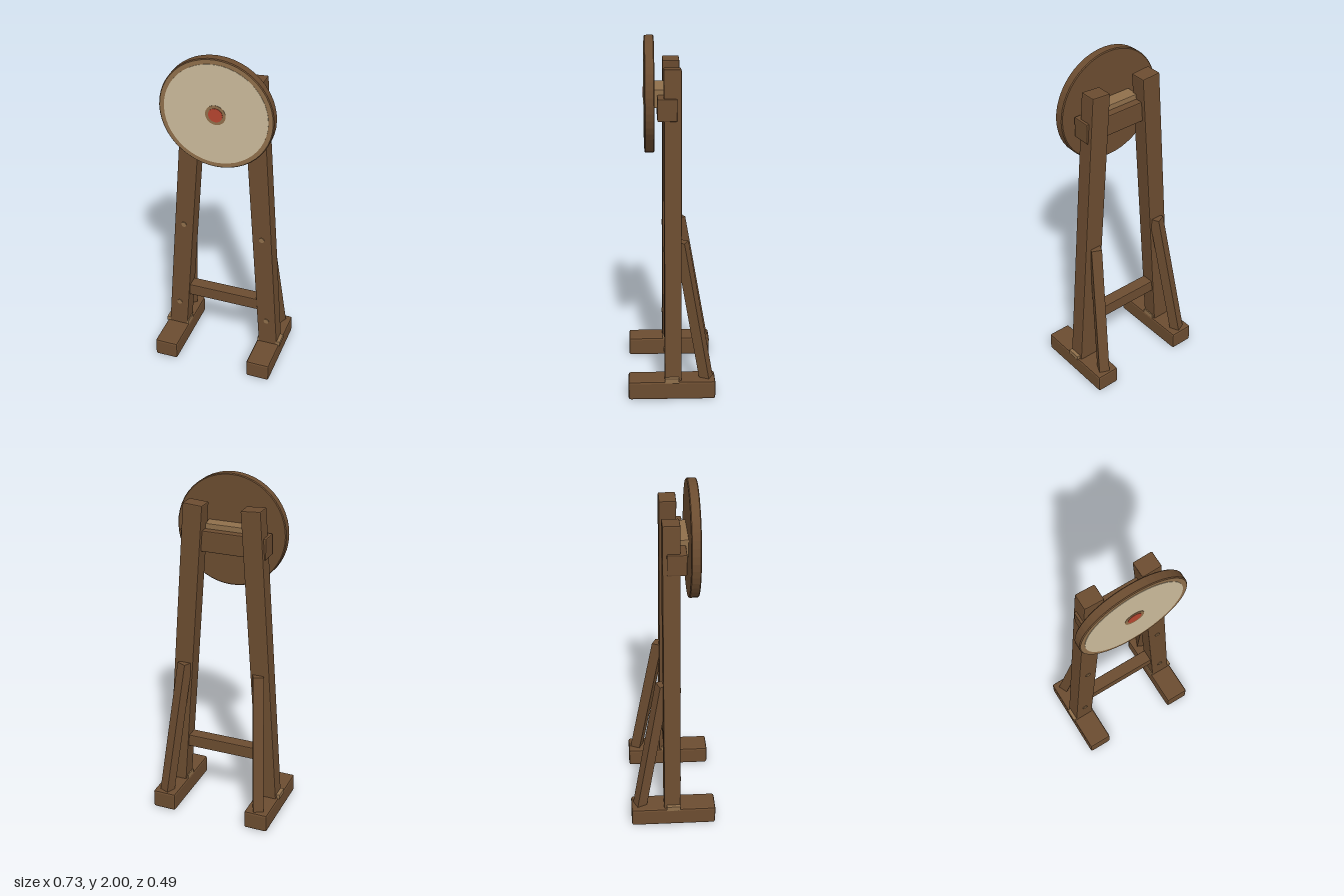
import * as THREE from 'three';
import { RoundedBoxGeometry } from 'three/addons/geometries/RoundedBoxGeometry.js';

const material = (name, color) => {
  const m = new THREE.MeshStandardMaterial({ color, flatShading: true });
  m.name = name;
  return m;
};

export function createModel() {
  const group = new THREE.Group();
  const wood = material('dark wood', 0x6b4c30);
  const paleWood = material('pale wood', 0x8f6f4b);
  const cream = material('cream face', 0xcbbb9b);
  const red = material('red bullseye', 0xb5452f);

  const add = (name, geometry, mat, x = 0, y = 0, z = 0) => {
    const mesh = new THREE.Mesh(geometry, mat);
    mesh.name = name;
    mesh.position.set(x, y, z);
    group.add(mesh);
    return mesh;
  };
  // Box with narrow bevelled edges
  const beam = (w, h, d, bevel = 0.006) => new RoundedBoxGeometry(w, h, d, 1, bevel);
  // Disc facing +z
  const disc = (r, depth, sides = 48) =>
    new THREE.CylinderGeometry(r, r, depth, sides).rotateX(Math.PI / 2);

  // Posts lean inwards: centre x at a given height
  const bottomY = 0.09, topY = 1.85, bottomX = 0.29, topX = 0.167;
  const lean = Math.atan2(bottomX - topX, topY - bottomY);
  const postX = y => bottomX + (topX - bottomX) * (y - bottomY) / (topY - bottomY);

  for (const side of [1, -1]) {
    const label = side > 0 ? 'left' : 'right';

    add(label + 'Foot', beam(0.14, 0.11, 0.49, 0.012), wood, side * 0.29, 0.055, 0);
    add(label + 'FootCollar', beam(0.142, 0.03, 0.08, 0.003), paleWood, side * 0.294, 0.117, 0);

    const midY = (bottomY + topY) / 2;
    const post = add(label + 'Post', beam(0.114, (topY - bottomY) / Math.cos(lean), 0.095),
      wood, side * postX(midY), midY, -0.007);
    post.rotation.z = side * lean;

    // Pegs on the front of the post
    for (const y of [0.275, 0.86]) {
      add(label + 'Peg', disc(0.016, 0.012, 8), paleWood, side * postX(y), y, 0.039);
    }

    // Rear brace: a turned prism sheared from the foot up to the post
    const brace = new THREE.BoxGeometry(0.06, 0.8, 0.06).rotateY(-side * 0.427);
    const p = brace.attributes.position;
    for (let i = 0; i < p.count; i++) {
      const t = p.getY(i) / 0.8 + 0.5;
      p.setX(i, p.getX(i) + side * (0.29 - 0.065 * t));
      p.setZ(i, p.getZ(i) - 0.1955 + 0.14 * t);
    }
    brace.computeVertexNormals();
    add(label + 'Brace', brace, wood, 0, 0.5, 0);
  }

  // Cross members
  add('lowerCrossbar', beam(0.46, 0.075, 0.075), wood, 0, 0.378, -0.006);
  add('upperCrossbar', beam(0.5, 0.12, 0.107), wood, 0, 1.64, 0.022);
  add('targetMount', beam(0.26, 0.1, 0.08, 0.004), paleWood, 0, 1.68, 0.052);

  // Round target with a slightly bevelled edge
  const profile = [[0, -0.027], [0.315, -0.027], [0.32, -0.022], [0.32, 0.022], [0.315, 0.027], [0, 0.027]]
    .map(([r, h]) => new THREE.Vector2(r, h));
  const targetY = 1.68;
  add('targetBoard', new THREE.LatheGeometry(profile, 48).rotateX(Math.PI / 2), wood, 0, targetY, 0.117);
  add('targetRim', new THREE.RingGeometry(0.288, 0.315, 48), paleWood, 0, targetY, 0.1445);
  add('targetFace', disc(0.29, 0.004), cream, 0, targetY, 0.1445);
  add('bullseyeRing', disc(0.057, 0.004, 32), paleWood, 0, targetY, 0.1465);
  add('bullseye', disc(0.04, 0.004, 32), red, 0, targetY, 0.1485);

  return group;
}
